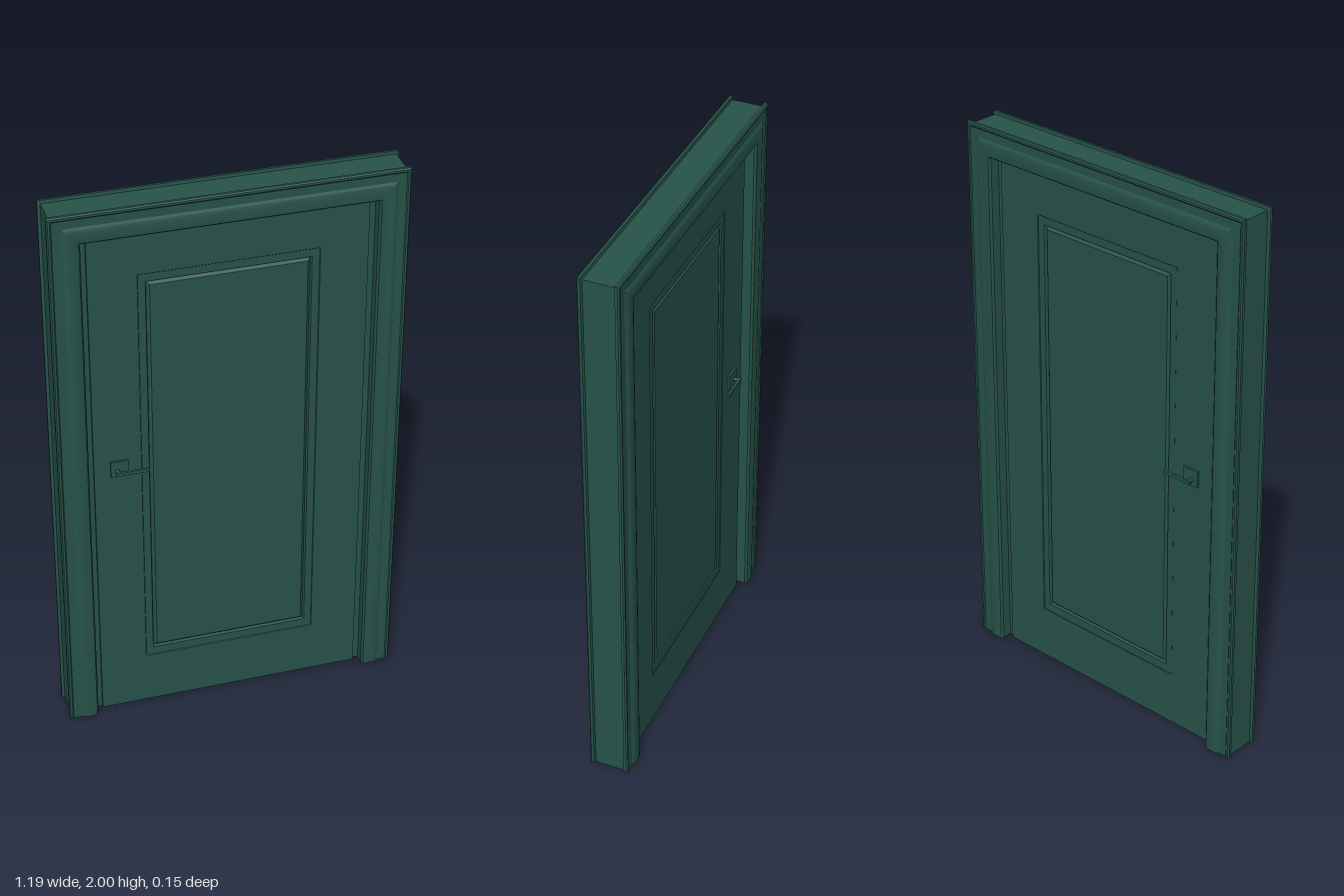
import * as THREE from 'three';
import { toCreasedNormals } from 'three/addons/utils/BufferGeometryUtils.js';

const green = new THREE.MeshStandardMaterial({ color: 0x27534a });
green.name = 'dark green paint';

const HALF = 0.595, TOP = 2;

function mesh(name, geometry) {
  const m = new THREE.Mesh(geometry, green);
  m.name = name;
  return m;
}

// Skin between successive outlines, each listed clockwise from the lower left corner
function loft(sections, closed) {
  const pos = [];
  const n = sections[0].length;
  for (let j = 0; j < sections.length - 1; j++) {
    for (let i = 0; i < (closed ? n : n - 1); i++) {
      const k = (i + 1) % n;
      const a = sections[j][i], b = sections[j + 1][i];
      const c = sections[j + 1][k], d = sections[j][k];
      pos.push(...a, ...b, ...c, ...a, ...c, ...d);
    }
  }
  const g = new THREE.BufferGeometry();
  g.setAttribute('position', new THREE.Float32BufferAttribute(pos, 3));
  g.computeVertexNormals();
  return toCreasedNormals(g, 0.5);
}

const rect = (hx, y0, y1, z) => [[-hx, y0, z], [-hx, y1, z], [hx, y1, z], [hx, y0, z]];

// Mitred surround on three sides; the profile is [inset from outer edge, z]
function surround(name, profile) {
  const group = new THREE.Group();
  group.name = name;
  const sections = profile.map(([w, z]) => rect(HALF - w, 0, TOP - w, z));
  group.add(mesh(name + 'Body', loft(sections, false)));
  for (const s of [-1, 1]) {
    const shape = new THREE.Shape(profile.map(([w, z]) => new THREE.Vector2(s * (HALF - w), z)));
    group.add(mesh(name + 'Foot', new THREE.ShapeGeometry(shape).rotateX(Math.PI / 2)));
  }
  return group;
}

// Everything that is the same on both faces of the door
function doorFace(name) {
  const face = new THREE.Group();
  face.name = name;

  // Moulded casing with an outer lip and a rounded inner band
  face.add(surround('casing', [
    [0.012, 0.053], [0, 0.056], [0, 0.065], [0.004, 0.07], [0.011, 0.07],
    [0.015, 0.067], [0.044, 0.067], [0.052, 0.072], [0.062, 0.075], [0.09, 0.075],
    [0.099, 0.072], [0.105, 0.064], [0.105, 0.053], [0.012, 0.053],
  ]));

  // Leaf: mitred boards, inner moulding and a groove around the field
  face.add(mesh('leafBoards', loft([
    rect(0.468, 0, 1.881, 0), rect(0.468, 0, 1.881, 0.04), rect(0.305, 0.195, 1.741, 0.038),
  ], true)));
  face.add(mesh('panelMoulding', loft([
    rect(0.305, 0.195, 1.741, 0.038), rect(0.303, 0.197, 1.739, 0.036),
    rect(0.278, 0.227, 1.711, 0.036), rect(0.274, 0.231, 1.707, 0.026),
    rect(0.264, 0.241, 1.697, 0.036),
  ], true)));
  const field = mesh('panelField', new THREE.PlaneGeometry(0.528, 1.456));
  field.position.set(0, 0.969, 0.036);
  face.add(field);
  return face;
}

// Square rose, short neck and a straight lever pointing to the middle
function handle(name, side) {
  const h = new THREE.Group();
  h.name = name;
  const rose = mesh('handleRose', new THREE.BoxGeometry(0.06, 0.06, 0.008));
  rose.position.set(-0.382, 1.016, side * 0.043);
  const neck = mesh('handleNeck', new THREE.CylinderGeometry(0.007, 0.007, 0.025, 16).rotateX(Math.PI / 2));
  neck.position.set(-0.39, 1.01, side * 0.055);
  const lever = mesh('handleLever', new THREE.BoxGeometry(0.115, 0.012, 0.009));
  lever.position.set(-0.342, 1.01, side * 0.067);
  h.add(rose, neck, lever);
  return h;
}

export function createModel() {
  const door = new THREE.Group();
  door.name = 'door';

  // Jamb lining the wall opening, and the stop behind the leaf edge
  door.add(surround('jamb', [
    [0.01, -0.055], [0.01, 0.055], [0.105, 0.055], [0.105, -0.055], [0.01, -0.055],
  ]));
  door.add(surround('doorStop', [
    [0.104, -0.03], [0.104, 0.03], [0.129, 0.03], [0.129, -0.03], [0.104, -0.03],
  ]));

  const front = doorFace('frontFace');
  const back = doorFace('backFace');
  back.rotation.y = Math.PI;
  door.add(front, back, handle('frontHandle', 1), handle('backHandle', -1));
  return door;
}
